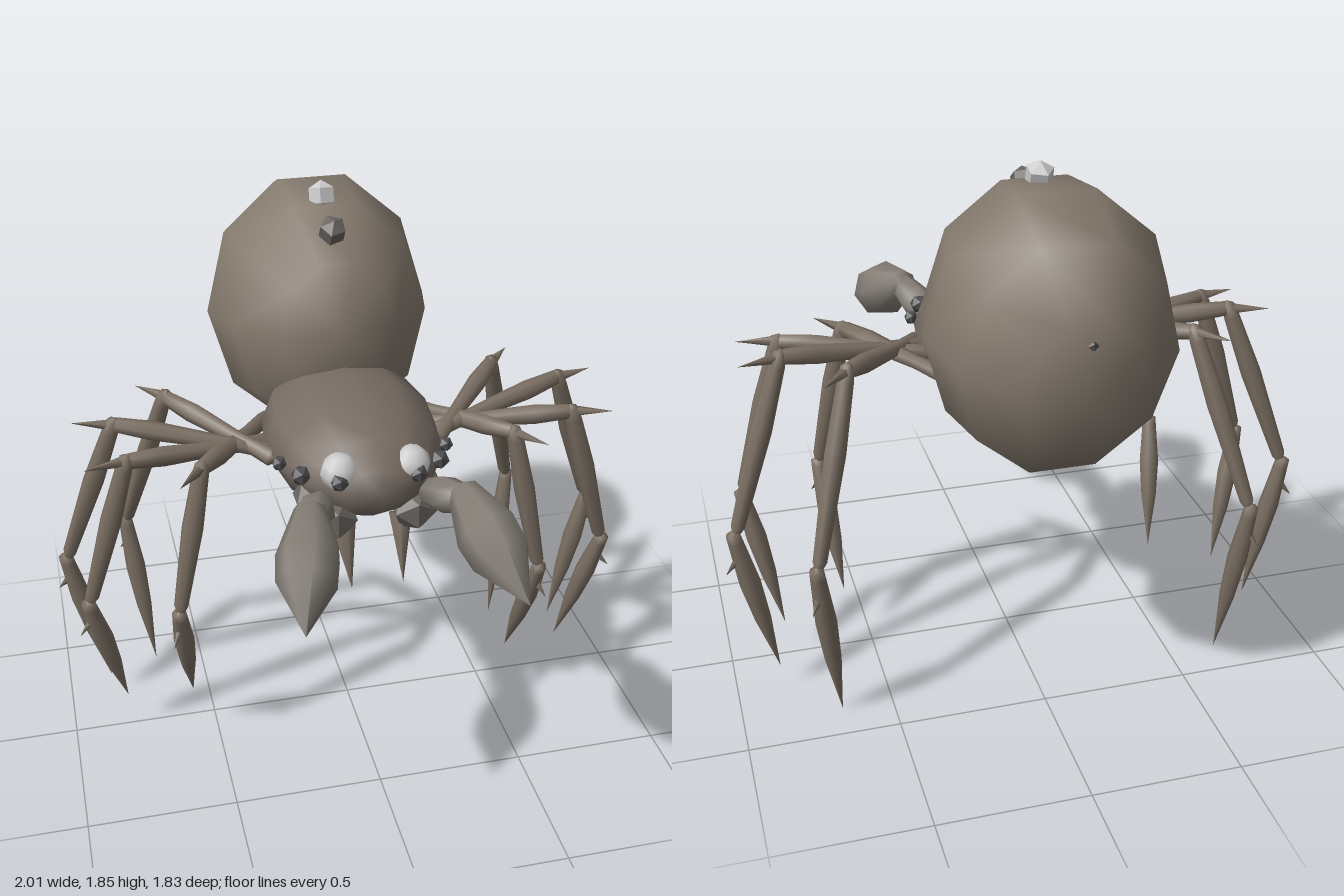
import * as THREE from 'three';

const mat = (color, flatShading = false) => new THREE.MeshStandardMaterial({ color, flatShading });
const V = (p) => new THREE.Vector3(...p);

export function createModel() {
  const root = new THREE.Group();
  const bodyMat = mat(0x857a6e), thoraxMat = mat(0x776c63), legMat = mat(0x7a6e62);
  const palpMat = mat(0x827c74), jawMat = mat(0x6a6560, true);
  const darkMat = mat(0x4a4a4c, true), eyeMat = mat(0xcccccc), paleMat = mat(0xcccccc, true);

  const add = (parent, name, geo, material, pos = [0, 0, 0]) => {
    const m = new THREE.Mesh(geo, material);
    m.name = name;
    m.position.set(...pos);
    parent.add(m);
    return m;
  };

  // Lathe limb from a to b; profile holds [radius, fraction of length]
  const limb = (parent, name, a, b, profile, material, sides = 7) => {
    const A = V(a), D = V(b).sub(A), len = D.length();
    const geo = new THREE.LatheGeometry(profile.map(([r, t]) => new THREE.Vector2(r, t * len)), sides);
    const m = add(parent, name, geo, material, a);
    m.quaternion.setFromUnitVectors(new THREE.Vector3(0, 1, 0), D.normalize());
    return m;
  };
  const spike = (r) => [[0, 0], [r, 0.02], [0, 1]];

  // Abdomen: ten-sided ellipsoid, poles along z, rear tipped slightly down
  const abdomenGeo = new THREE.SphereGeometry(1, 10, 6);
  abdomenGeo.rotateY(Math.PI / 10).rotateX(Math.PI / 2);
  // a vertex column lies on the x axis, so the top is a flat facet
  abdomenGeo.rotateZ(Math.PI / 10);
  abdomenGeo.scale(0.388, 0.46, 0.443).rotateX(-0.15);
  add(root, 'abdomen', abdomenGeo, bodyMat, [0, 1.372, -0.48]);
  add(root, 'spinneret', new THREE.IcosahedronGeometry(0.018, 0), darkMat, [0, 1.475, -0.89]);
  add(root, 'paleBackKnob', new THREE.SphereGeometry(0.05, 5, 3), paleMat, [0, 1.8, -0.37]).rotation.x = -0.3;
  add(root, 'darkBackKnob', new THREE.SphereGeometry(0.05, 5, 3), jawMat, [0, 1.735, -0.21]).rotation.x = 0.6;

  // Head and thorax with a narrow waist
  const thoraxGeo = new THREE.SphereGeometry(1, 12, 8);
  thoraxGeo.rotateX(Math.PI / 2).scale(0.292, 0.2, 0.425);
  add(root, 'thorax', thoraxGeo, thoraxMat, [0, 1.122, 0.05]);
  limb(root, 'waist', [0, 1.12, -0.2], [0, 1.2, -0.5], [[0, 0], [0.15, 0.05], [0.11, 0.5], [0.13, 1]], thoraxMat, 8);

  // Hip, knee, ankle and tip of each leg, front to rear
  const legs = [
    [[0.24, 1.09, -0.18], [0.52, 1.14, 0.2], [0.625, 0.61, 0.24], [0.58, 0.175, 0.08]],
    [[0.26, 1.1, 0.0], [0.75, 1.15, 0.12], [0.91, 0.6, 0.1], [0.805, 0.13, 0.0]],
    [[0.27, 1.1, 0.07], [0.77, 1.18, -0.08], [0.965, 0.605, -0.19], [0.85, 0.085, -0.19]],
    [[0.27, 1.1, 0.13], [0.58, 1.18, -0.24], [0.735, 0.58, -0.44], [0.67, 0.0, -0.365]],
  ];
  const femur = [[0, 0], [0.03, 0.03], [0.024, 0.3], [0.034, 0.75], [0.026, 0.98], [0, 1.03]];
  const tibia = [[0, -0.05], [0.023, -0.025], [0.028, 0.05], [0.036, 0.4], [0.024, 0.93], [0, 1.02]];
  const foot = [[0, -0.06], [0.024, -0.04], [0.026, 0.02], [0.036, 0.32], [0.028, 0.6], [0, 1]];

  for (const side of [1, -1]) {
    const m = ([x, y, z]) => [x * side, y, z];
    const label = side > 0 ? 'left' : 'right';

    legs.forEach(([hip, knee, ankle, tip], i) => {
      const leg = new THREE.Group();
      leg.name = `${label}Leg${i + 1}`;
      root.add(leg);
      limb(leg, 'femur', m(hip), m(knee), femur, legMat);
      limb(leg, 'tibia', m(knee), m(ankle), tibia, legMat);
      limb(leg, 'foot', m(ankle), m(tip), foot, legMat);
      // Spurs continue the femur past the knee and jut out below the ankle
      const out = V(knee).sub(V(hip)).setY(0).normalize();
      const kneeEnd = V(knee).addScaledVector(out, 0.14).toArray();
      limb(leg, 'kneeSpur', m(knee), m(kneeEnd), spike(0.02), legMat, 5);
      const shin = V(ankle).lerp(V(tip), 0.12);
      const shinEnd = shin.clone().addScaledVector(out, 0.055).setY(shin.y - 0.06).toArray();
      limb(leg, 'ankleSpur', m(shin.toArray()), m(shinEnd), spike(0.018), legMat, 5);
    });

    // Eyes
    add(root, `${label}Eye`, new THREE.SphereGeometry(0.062, 8, 6), eyeMat, m([0.115, 1.178, 0.385]));
    add(root, `${label}Pupil`, new THREE.IcosahedronGeometry(0.031, 0), darkMat, m([0.126, 1.168, 0.433]));
    add(root, `${label}SideEye`, new THREE.IcosahedronGeometry(0.034, 0), darkMat, m([0.225, 1.145, 0.325]));
    add(root, `${label}RearEye`, new THREE.IcosahedronGeometry(0.026, 0), darkMat, m([0.275, 1.14, 0.225]));

    // Jaws with fangs
    add(root, `${label}Jaw`, new THREE.IcosahedronGeometry(0.08, 0), jawMat, m([0.13, 1.01, 0.37]));
    add(root, `${label}JawBase`, new THREE.IcosahedronGeometry(0.075, 0), jawMat, m([0.175, 1.04, 0.29]));
    limb(root, `${label}Fang`, m([0.095, 0.98, 0.34]), m([0.085, 0.765, 0.43]), spike(0.042), legMat, 6);

    // Feelers
    limb(root, `${label}FeelerArm`, m([0.165, 1.06, 0.36]), m([0.245, 1.14, 0.57]),
      [[0, 0], [0.04, 0.05], [0.06, 0.5], [0.045, 0.9], [0, 1]], palpMat);
    limb(root, `${label}FeelerClub`, m([0.235, 1.155, 0.515]), m([0.335, 0.965, 0.915]),
      [[0, 0], [0.05, 0.04], [0.1, 0.4], [0.095, 0.6], [0, 1]], palpMat);
  }
  return root;
}
